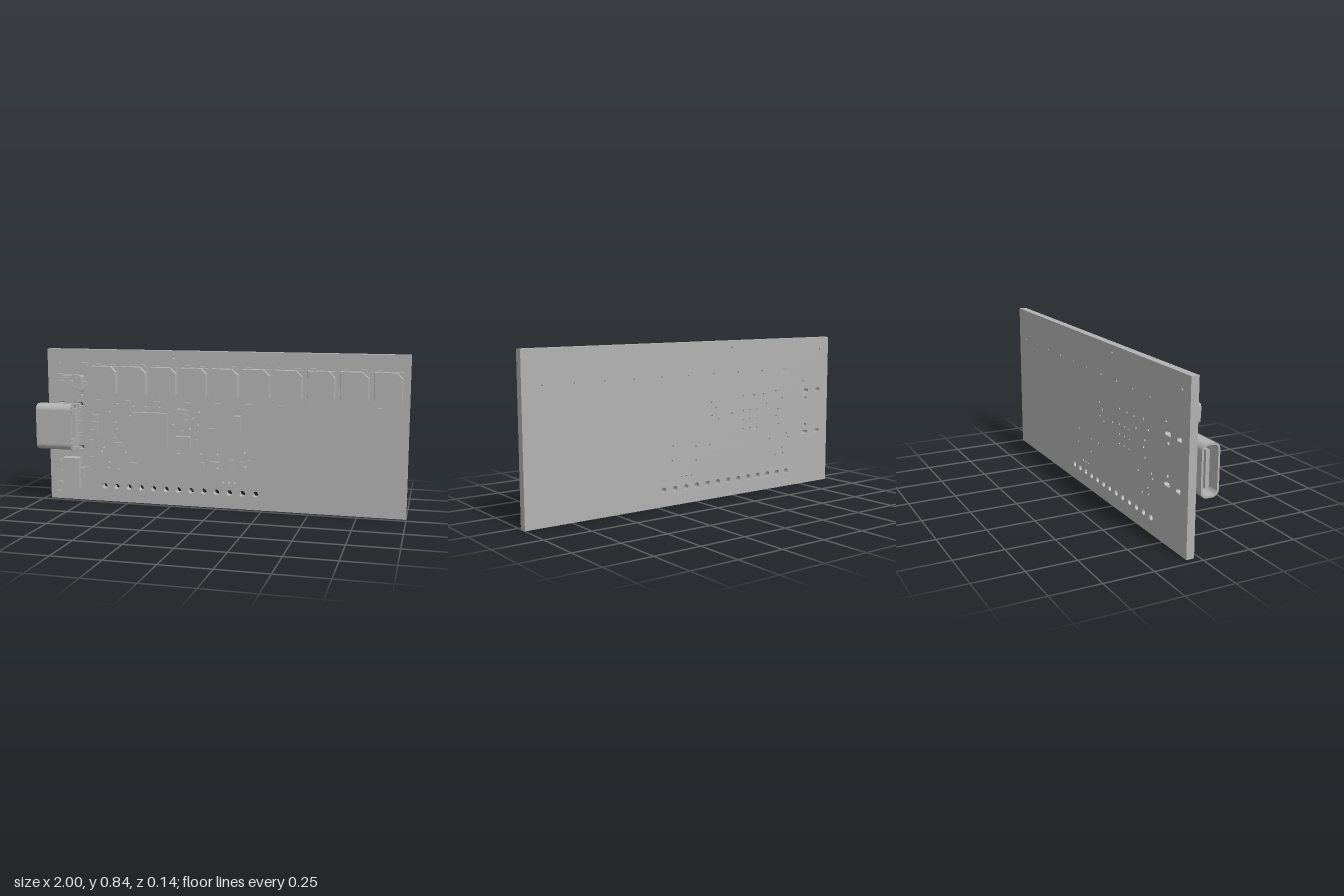
import * as THREE from 'three';

const grey = new THREE.MeshStandardMaterial({ color: 0xb2b2b2 });
grey.name = 'plain grey';

const BOARD_FRONT = -0.027, SEAT = -0.024;

function add(parent, name, geometry) {
  const mesh = new THREE.Mesh(geometry, grey);
  mesh.name = name;
  parent.add(mesh);
  return mesh;
}

function group(parent, name) {
  const g = new THREE.Group();
  g.name = name;
  parent.add(g);
  return g;
}

// Box given by centre, size and its back and front depth; taper narrows the front face
function block(parent, name, x, y, w, h, z0, z1, taper = 1) {
  const geo = new THREE.BoxGeometry(w, h, z1 - z0);
  const p = geo.attributes.position;
  for (let i = 0; i < p.count; i++) {
    if (p.getZ(i) > 0) p.setXY(i, p.getX(i) * taper, p.getY(i) * taper);
  }
  geo.translate(x, y, (z0 + z1) / 2);
  geo.computeVertexNormals();
  return add(parent, name, geo);
}

// Rounded rectangle outline, usable as a shape or a hole
function rounded(x, y, w, h, r, Kind = THREE.Shape) {
  const s = new Kind(), a = w / 2 - r, b = h / 2 - r;
  s.absarc(x + a, y + b, r, 0, Math.PI / 2);
  s.absarc(x - a, y + b, r, Math.PI / 2, Math.PI);
  s.absarc(x - a, y - b, r, Math.PI, Math.PI * 1.5);
  s.absarc(x + a, y - b, r, Math.PI * 1.5, Math.PI * 2);
  s.closePath();
  return s;
}

function plate(shape, z0, z1, curveSegments = 6) {
  return new THREE.ExtrudeGeometry(shape, { depth: z1 - z0, bevelEnabled: false, curveSegments }).translate(0, 0, z0);
}

const ledX = Array.from({ length: 10 }, (_, i) => -0.62 + i * 0.1682);

// Circuit board with header holes, vias and connector slots
function buildBoard(root) {
  const s = new THREE.Shape();
  s.moveTo(-0.965, 0).lineTo(1, 0).lineTo(1, 0.842).lineTo(-0.965, 0.842).closePath();
  const hole = (x, y, r) => s.holes.push(new THREE.Path().absarc(x, y, r, 0, Math.PI * 2, true));
  for (let i = 0; i < 13; i++) hole(-0.644 + i * 0.0713, 0.086, 0.016);
  ledX.forEach(x => hole(x, 0.67, 0.005));
  for (let i = 0; i < 9; i++) hole(-0.37 + (i % 3 - 1) * 0.05, 0.41 + (Math.floor(i / 3) - 1) * 0.05, 0.005);
  [[-0.896, 0.77], [-0.767, 0.594], [-0.238, 0.805], [-0.559, 0.551], [-0.468, 0.54], [-0.398, 0.54],
    [-0.318, 0.54], [-0.607, 0.508], [-0.489, 0.487], [-0.575, 0.449], [-0.564, 0.412], [-0.58, 0.364],
    [-0.644, 0.305], [-0.655, 0.283], [-0.612, 0.225], [-0.618, 0.193], [-0.559, 0.187], [-0.516, 0.283],
    [-0.104, 0.449], [-0.147, 0.428], [-0.088, 0.294], [0.003, 0.294], [0.003, 0.219], [0.152, 0.31],
    [0.035, 0.144], [0.067, 0.144], [0.099, 0.144], [0.158, 0.235], [-0.099, 0.519], [-0.131, 0.487],
    [-0.243, 0.449]].forEach(([x, y]) => hole(x, y, 0.006));
  for (const side of [-1, 1]) {
    const y = 0.419 + side * 0.12;
    s.holes.push(rounded(-0.785, y, 0.05, 0.022, 0.0109, THREE.Path));
    s.holes.push(rounded(-0.884, y, 0.04, 0.022, 0.0109, THREE.Path));
    hole(-0.79, 0.419 + side * 0.078, 0.009);
  }
  add(root, 'circuitBoard', plate(s, -0.068, BOARD_FRONT));
}

// Square lamp: tapered lower body, front layer with one clipped corner, four pads
function buildLamp(root, x) {
  const g = group(root, 'lamp'), y = 0.684;
  block(g, 'lampBase', x, y, 0.144, 0.142, -0.021, 0.004);
  const a = 0.0715, c = 0.03;
  const s = new THREE.Shape();
  s.moveTo(-a, -a).lineTo(a, -a).lineTo(a, a - c).lineTo(a - c, a).lineTo(-a, a).closePath();
  const geo = plate(s, 0.004, 0.02);
  const p = geo.attributes.position;
  for (let i = 0; i < p.count; i++) {
    if (p.getZ(i) > 0.01) p.setXY(i, p.getX(i) * 0.95, p.getY(i) * 0.98);
  }
  geo.computeVertexNormals();
  add(g, 'lampFront', geo.translate(x, y, 0));
  for (const sx of [-1, 1]) for (const sy of [-1, 1]) {
    block(g, 'lampPad', x + sx * 0.042, y + sy * 0.071, 0.026, 0.02, SEAT, -0.006);
  }
}

// Chip resistor or capacitor: slim body between two end caps
function buildPassive(root, x, y, w, h, top = -0.009) {
  const g = group(root, 'chipComponent'), wide = w >= h;
  block(g, 'componentBody', x, y, w * (wide ? 0.6 : 0.94), h * (wide ? 0.94 : 0.6), SEAT, top - 0.001);
  for (const s of [-1, 1]) {
    block(g, 'endCap', x + (wide ? s * w * 0.39 : 0), y + (wide ? 0 : s * h * 0.39),
      wide ? w * 0.22 : w, wide ? h : h * 0.22, SEAT, top);
  }
}

// Connector: open rounded shell facing -x with a tongue, rear block and contacts
function buildConnector(root) {
  const g = group(root, 'connector'), y = 0.419, z = 0.021;
  const along = (name, shape, x, length) => add(g, name,
    new THREE.ExtrudeGeometry(shape, { depth: length, bevelEnabled: false, curveSegments: 8 })
      .rotateY(-Math.PI / 2).translate(x, 0, 0));
  const shell = rounded(z, y, 0.094, 0.252, 0.034);
  shell.holes.push(rounded(z, y, 0.074, 0.232, 0.025, THREE.Path));
  along('connectorShell', shell, -0.8, 0.2);
  along('connectorInsulator', rounded(z, y, 0.076, 0.234, 0.025), -0.806, 0.035);
  along('connectorTongue', rounded(z, y, 0.02, 0.18, 0.004), -0.83, 0.145);
  block(g, 'connectorRear', -0.798, y, 0.022, 0.2, BOARD_FRONT, 0.03);
  for (const s of [-1, 1]) {
    const spring = block(g, 'rearSpring', 0, 0, 0.008, 0.06, -0.004, 0.004);
    spring.position.set(-0.795, y + s * 0.075, 0.04);
    spring.rotation.x = s * 0.9;
    block(g, 'rearTab', -0.797, y + s * 0.09, 0.014, 0.05, 0.032, 0.06);
    for (const x of [-0.79, -0.884]) block(g, 'shellLeg', x, y + s * 0.12, 0.03, 0.012, -0.04, 0.0);
  }
  for (let i = 0; i < 12; i++) {
    block(g, 'connectorContact', -0.783, y + (i - 5.5) * 0.0175, 0.024, 0.009, BOARD_FRONT, -0.018);
  }
}

// Push button with frame, plunger and side terminals
function buildButton(root) {
  const g = group(root, 'pushButton'), x = -0.832, y = 0.656;
  add(g, 'buttonBody', plate(rounded(x, y, 0.164, 0.09, 0.012), SEAT, 0.018, 3));
  add(g, 'buttonCover', plate(rounded(x, y, 0.124, 0.07, 0.012), 0.018, 0.028, 3));
  add(g, 'buttonPlunger', plate(rounded(x, y, 0.08, 0.038, 0.005), 0.028, 0.047, 3));
  for (const s of [-1, 1]) {
    block(g, 'buttonTerminal', x + s * 0.088, y, 0.024, 0.024, SEAT, -0.012);
    for (const t of [-1, 1]) block(g, 'coverClip', x + s * 0.045, y + t * 0.046, 0.03, 0.01, -0.016, 0.018);
  }
}

// Voltage regulator with three leads and a wide tab
function buildRegulator(root) {
  const g = group(root, 'regulator');
  block(g, 'regulatorBack', -0.821, 0.158, 0.094, 0.176, -0.022, 0.003);
  block(g, 'regulatorFront', -0.821, 0.158, 0.096, 0.178, 0.003, 0.024, 0.96);
  block(g, 'tabFoot', -0.742, 0.158, 0.026, 0.064, SEAT, -0.017);
  block(g, 'tabRiser', -0.758, 0.158, 0.008, 0.064, SEAT, 0.004);
  block(g, 'tabTop', -0.768, 0.158, 0.022, 0.064, -0.003, 0.004);
  for (const y of [0.096, 0.158, 0.22]) {
    block(g, 'leadFoot', -0.905, y, 0.026, 0.016, SEAT, -0.017);
    block(g, 'leadRiser', -0.89, y, 0.007, 0.016, SEAT, 0.004);
    block(g, 'leadTop', -0.877, y, 0.024, 0.016, -0.003, 0.004);
  }
}

export function createModel() {
  const root = new THREE.Group();
  root.name = 'circuitBoardAssembly';
  buildBoard(root);
  buildConnector(root);
  buildButton(root);
  buildRegulator(root);
  for (const x of ledX) {
    buildLamp(root, x);
    buildPassive(root, x - 0.045, 0.564, 0.027, 0.013, -0.011);
  }

  // Integrated circuits
  block(root, 'mainChip', -0.37, 0.411, 0.195, 0.193, SEAT, -0.002);
  block(root, 'memoryChip', -0.184, 0.352, 0.085, 0.064, SEAT, -0.003);
  block(root, 'crystal', 0.118, 0.465, 0.037, 0.086, SEAT, 0.019);
  const small = group(root, 'smallChip');
  block(small, 'smallChipBody', -0.19, 0.498, 0.046, 0.072, -0.02, 0.006, 0.96);
  for (const s of [-1, 1]) for (const i of [-1, 0, 1]) {
    block(small, 'smallChipLead', -0.19 + s * 0.028, 0.498 + i * 0.025, 0.016, 0.011, SEAT, -0.008);
  }

  // Scattered chip components: x, y, width, height, front depth
  [[-0.746, 0.759, 0.043, 0.021], [-0.69, 0.476, 0.043, 0.025], [-0.69, 0.433, 0.043, 0.025],
    [-0.69, 0.388, 0.043, 0.025], [-0.714, 0.326, 0.022, 0.043], [-0.714, 0.241, 0.022, 0.016],
    [-0.556, 0.326, 0.043, 0.022], [-0.465, 0.214, 0.043, 0.025], [-0.03, 0.425, 0.038, 0.022],
    [-0.078, 0.225, 0.022, 0.043, -0.003], [-0.008, 0.243, 0.048, 0.025, -0.003], [0.083, 0.251, 0.027, 0.038, -0.003],
    [0.139, 0.249, 0.02, 0.028], [0.179, 0.259, 0.016, 0.027], [-0.19, 0.414, 0.022, 0.011],
    [-0.214, 0.286, 0.022, 0.011], [-0.11, 0.358, 0.014, 0.022], [-0.914, 0.043, 0.022, 0.011],
  ].forEach(p => buildPassive(root, ...p));
  return root;
}
